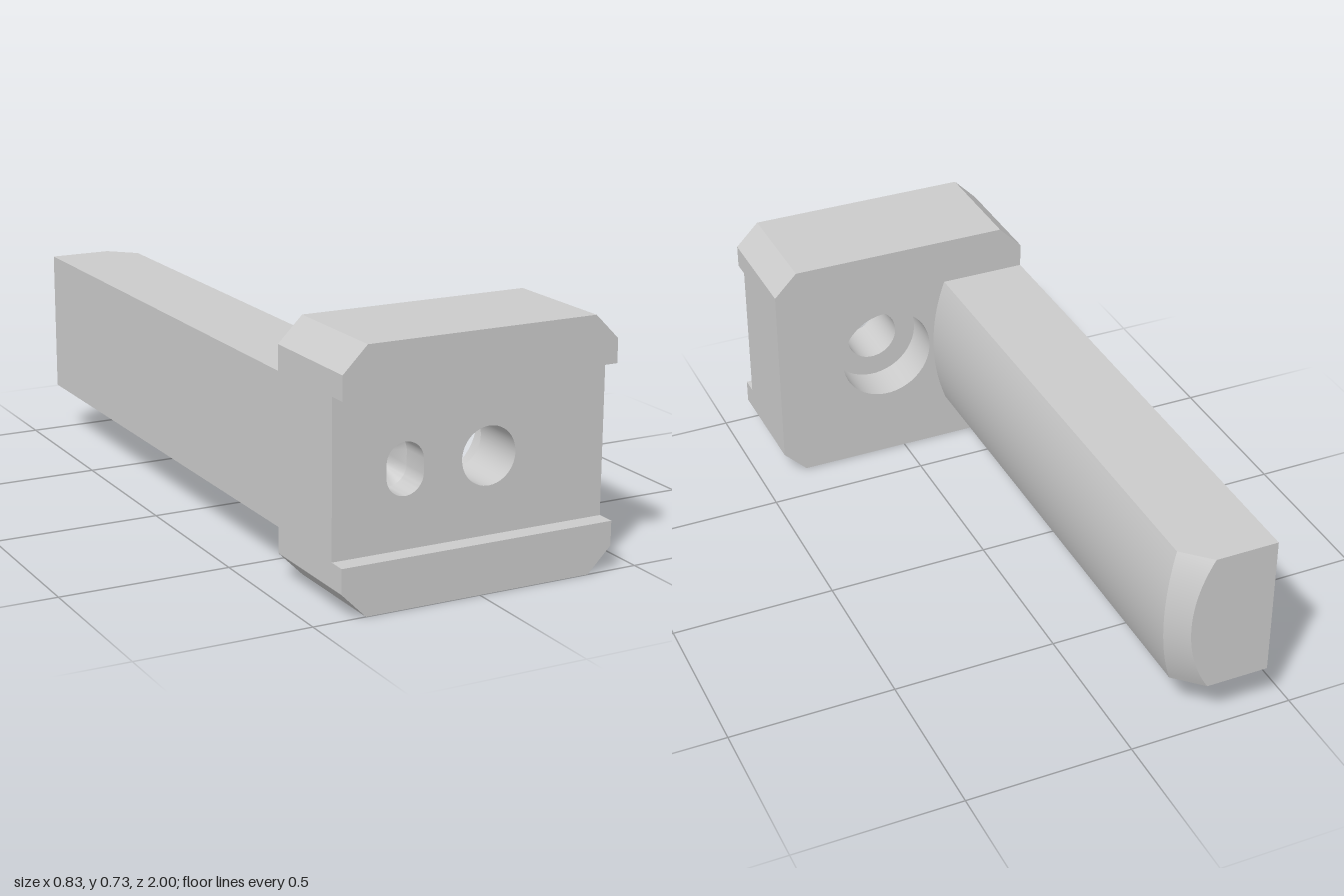
import * as THREE from 'three';
import { mergeGeometries, toCreasedNormals } from 'three/addons/utils/BufferGeometryUtils.js';

const W = 0.417, H = 0.728, C = 0.072;           // block half width, height, corner cut
const BACK = 0.64, FLOOR = 0.945, FRONT = 1;     // block depth levels
const MID = 0.365;                               // centre height of holes and arm
const v2 = (x, y) => new THREE.Vector2(x, y);

function fromPositions(pos) {
  const g = new THREE.BufferGeometry();
  g.setAttribute('position', new THREE.Float32BufferAttribute(pos, 3));
  return g;
}

// Band joining two closed loops of equal length (counter-clockwise loops face outward, a behind b)
function band(a, za, b, zb) {
  const pos = [];
  a.forEach((p, i) => {
    const j = (i + 1) % a.length, q = a[j], r = b[j], s = b[i];
    pos.push(p.x, p.y, za, q.x, q.y, za, r.x, r.y, zb);
    pos.push(p.x, p.y, za, r.x, r.y, zb, s.x, s.y, zb);
  });
  return fromPositions(pos);
}
const wall = (pts, z0, z1) => band(pts, z0, pts, z1);
const bore = (pts, z0, z1) => wall([...pts].reverse(), z0, z1);

// Flat face with holes, facing +z or -z
function face(pts, holes, z, dir) {
  const shape = new THREE.Shape(pts);
  holes.forEach((h) => shape.holes.push(new THREE.Path(h)));
  const g = new THREE.ShapeGeometry(shape);
  if (dir < 0) g.setIndex([...g.index.array].reverse());
  const flat = g.toNonIndexed();
  flat.deleteAttribute('normal');
  flat.deleteAttribute('uv');
  return flat.translate(0, 0, z);
}

// Circle, or upright capsule when half is the straight half length
function round(x, y, r, half = 0, n = 48) {
  return Array.from({ length: n }, (_, i) => {
    const a = ((i + 0.5) / n) * Math.PI * 2;
    return v2(x + r * Math.cos(a), y + r * Math.sin(a) + Math.sign(Math.sin(a)) * half);
  });
}

function mesh(name, parts) {
  const m = new THREE.Mesh(
    toCreasedNormals(mergeGeometries(parts), 0.5),
    new THREE.MeshStandardMaterial({ color: 0xcccccc })
  );
  m.name = name;
  return m;
}

// Block with cut corners, front channel, counterbored hole and blind slot
function createBlock() {
  const low = 0.143, high = 0.587, seat = 0.77, slotEnd = 0.855;
  const outline = [
    v2(-W + C, 0), v2(W - C, 0), v2(W, C), v2(W, H - C),
    v2(W - C, H), v2(-W + C, H), v2(-W, H - C), v2(-W, C),
  ];
  const lips = [
    [v2(-W + C, 0), v2(W - C, 0), v2(W, C), v2(W, low), v2(-W, low), v2(-W, C)],
    [v2(-W, high), v2(W, high), v2(W, H - C), v2(W - C, H), v2(-W + C, H), v2(-W, H - C)],
  ];
  const channel = [v2(-W, low), v2(W, low), v2(W, high), v2(-W, high)];
  const hole = round(0.054, MID, 0.083);
  const counterbore = round(0.054, MID, 0.15);
  const slot = round(-0.201, MID, 0.056, 0.018);
  const slotRidge = round(-0.201, MID, 0, 0.018);

  const parts = [
    wall(outline, BACK, FLOOR),
    face(outline, [counterbore], BACK, -1),
    face(channel, [hole, slot], FLOOR, 1),
    bore(counterbore, BACK, seat),
    face(counterbore, [hole], seat, -1),
    bore(hole, seat, FLOOR),
    bore(slot, slotEnd, FLOOR),
    // conical floor of the slot, narrowing to a short ridge line
    band([...slotRidge].reverse(), slotEnd - 0.04, [...slot].reverse(), slotEnd),
  ];
  lips.forEach((lip) => parts.push(wall(lip, FLOOR, FRONT), face(lip, [], FRONT, 1)));
  return mesh('mountingBlock', parts);
}

// Long arm with one crowned side and a curved chamfer at its far end
function createArm() {
  const half = 0.218, n = 28;
  // Section whose crowned side is an arc from x = edge to x = crown
  const section = (edge, crown) => {
    const sag = crown - edge, R = (half * half + sag * sag) / (2 * sag);
    const pts = [v2(-W, MID + half), v2(-W, MID - half)];
    for (let i = 0; i <= n; i++) {
      const y = half * ((2 * i) / n - 1);
      pts.push(v2(crown - R + Math.sqrt(R * R - y * y), MID + y));
    }
    return pts;
  };
  const full = section(-0.15, -0.11), tip = section(-0.228, -0.165);

  const sides = band(full, -1, full, BACK);
  const chamfer = band(tip, -1, full, -1);
  // The chamfer starts further back towards the top and bottom edges
  const start = (y) => -0.945 + 0.021 * ((y - MID) / half) ** 2;
  const shift = (g, test) => {
    const p = g.attributes.position;
    for (let i = 0; i < p.count; i++) if (test(i)) p.setZ(i, start(p.getY(i)));
  };
  shift(sides, (i) => sides.attributes.position.getZ(i) < 0);
  shift(chamfer, (i) => [2, 4, 5].includes(i % 6));
  return mesh('arm', [sides, chamfer, face(tip, [], -1, -1)]);
}

export function createModel() {
  const model = new THREE.Group();
  model.name = 'clampBracket';
  model.add(createBlock(), createArm());
  return model;
}
